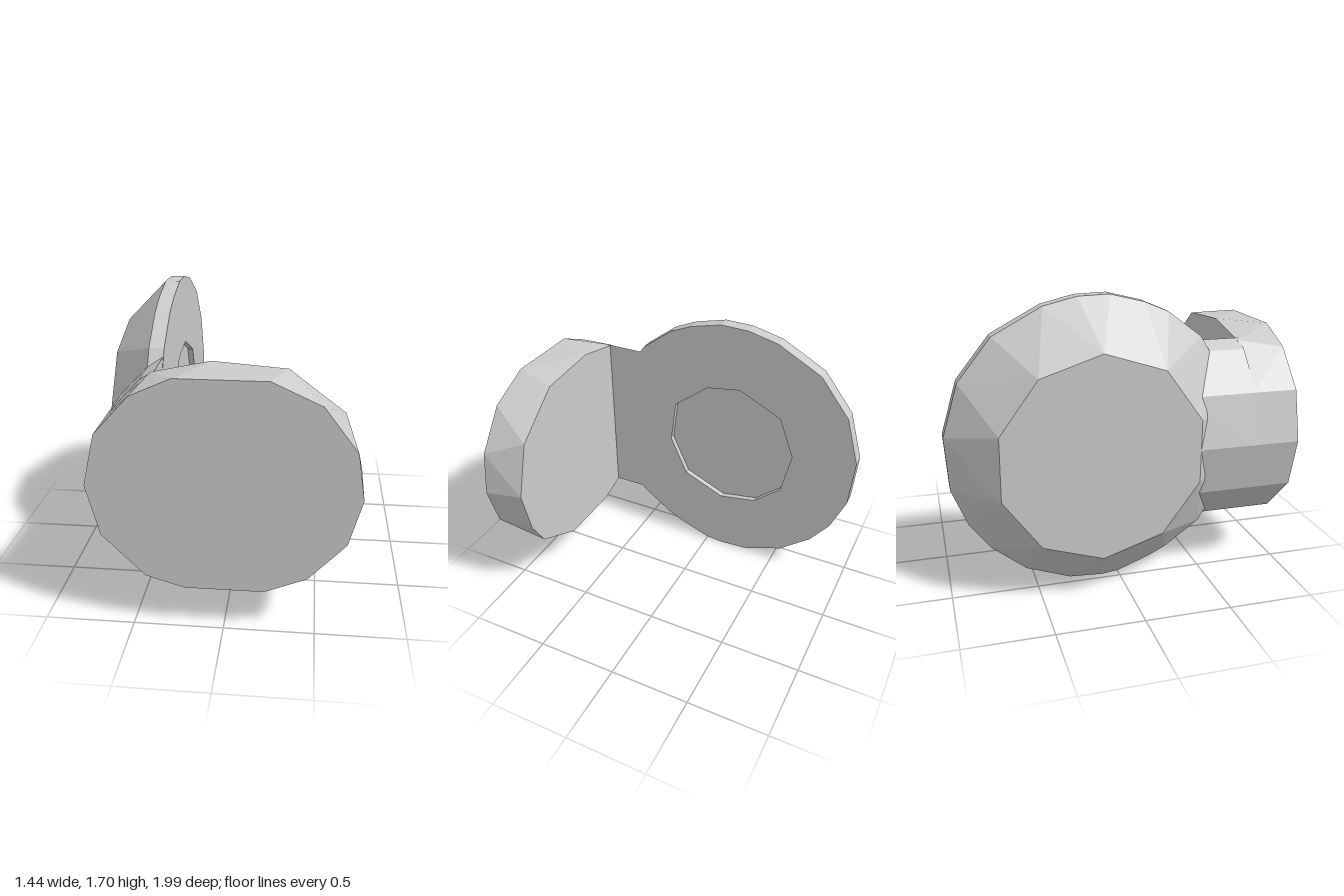
import * as THREE from 'three';
import { ConvexGeometry } from 'three/addons/geometries/ConvexGeometry.js';

const material = new THREE.MeshStandardMaterial({ color: 0xcccccc, flatShading: true });

// Outlines as [x, y] for the front disc and [z, y] for the side disc
const frontRing = [[-0.72, 0.85], [-0.65, 1.14], [-0.46, 1.35], [-0.24, 1.45], [0.24, 1.45], [0.5, 1.33], [0.68, 1.09],
  [0.72, 0.83], [0.65, 0.57], [0.45, 0.35], [0.22, 0.255], [-0.21, 0.255], [-0.42, 0.32], [-0.65, 0.56]];
const backRing = [[-0.72, 0.85], [-0.65, 1.14], [-0.4, 1.39], [-0.08, 1.46], [0.32, 1.43], [0.62, 1.2], [0.72, 0.88],
  [0.66, 0.6], [0.56, 0.43], [0.24, 0.26], [-0.19, 0.255], [-0.42, 0.32], [-0.65, 0.56]];
const neckRing = [[-0.377, 1.4], [-0.46, 1.35], [-0.65, 1.14], [-0.72, 0.85], [-0.65, 0.56], [-0.42, 0.32], [-0.377, 0.31]];
const rimRing = [[0.7, 0.95], [0.63, 1.2], [0.48, 1.44], [0.28, 1.59], [0.14, 1.65], [-0.06, 1.7], [-0.24, 1.695],
  [-0.43, 1.65], [-0.71, 1.5], [-0.9, 1.26], [-0.99, 0.96], [-0.97, 0.65], [-0.88, 0.43], [-0.76, 0.27], [-0.56, 0.11],
  [-0.3, 0.015], [-0.1, 0.003], [0, 0.015], [0.2, 0.09], [0.3, 0.14], [0.51, 0.29], [0.65, 0.53], [0.7, 0.75]];
const recessRing = [[-0.2, 1.285], [-0.48, 1.15], [-0.58, 0.89], [-0.52, 0.61], [-0.34, 0.46], [-0.1, 0.42],
  [0.17, 0.54], [0.285, 0.79], [0.25, 1.07], [0.02, 1.25]];

const atZ = (ring, z) => ring.map(([x, y]) => new THREE.Vector3(x, y, z));
const atX = (ring, x) => ring.map(([z, y]) => new THREE.Vector3(x, y, z));
const flat = ring => ring.map(([a, b]) => new THREE.Vector2(a, b));

// Slab in the z-y plane that grows from x towards -x
function slab(ring, x, depth, hole) {
  const shape = new THREE.Shape(flat(ring));
  if (hole) shape.holes.push(new THREE.Path(flat(hole)));
  return new THREE.ExtrudeGeometry(shape, { depth, bevelEnabled: false }).rotateY(-Math.PI / 2).translate(x, 0, 0);
}

export function createModel() {
  const group = new THREE.Group();
  const add = (name, geometry) => {
    const mesh = new THREE.Mesh(geometry, material);
    mesh.name = name;
    group.add(mesh);
  };

  // Front oval disc, faceted between two slightly different rings
  add('frontDisc', new ConvexGeometry([...atZ(frontRing, 1), ...atZ(backRing, 0.735)]));

  // Neck joining the front disc to the side disc
  add('neck', new ConvexGeometry([...atZ(neckRing, 0.75), ...atZ(neckRing, 0.32)]));

  // Side disc: rim with an opening, recessed floor and tapered outer side
  add('sideDiscRim', slab(rimRing, -0.375, 0.085, recessRing));
  add('recessFloor', slab(recessRing, -0.41, 0.05));
  const outerFace = Array.from({ length: 10 }, (_, i) => {
    const a = (i + 0.5) * Math.PI / 5;
    return [-0.16 + 0.59 * Math.cos(a), 0.845 + 0.59 * Math.sin(a)];
  });
  add('sideDiscTaper', new ConvexGeometry([...atX(rimRing, -0.46), ...atX(outerFace, -0.72)]));

  return group;
}
